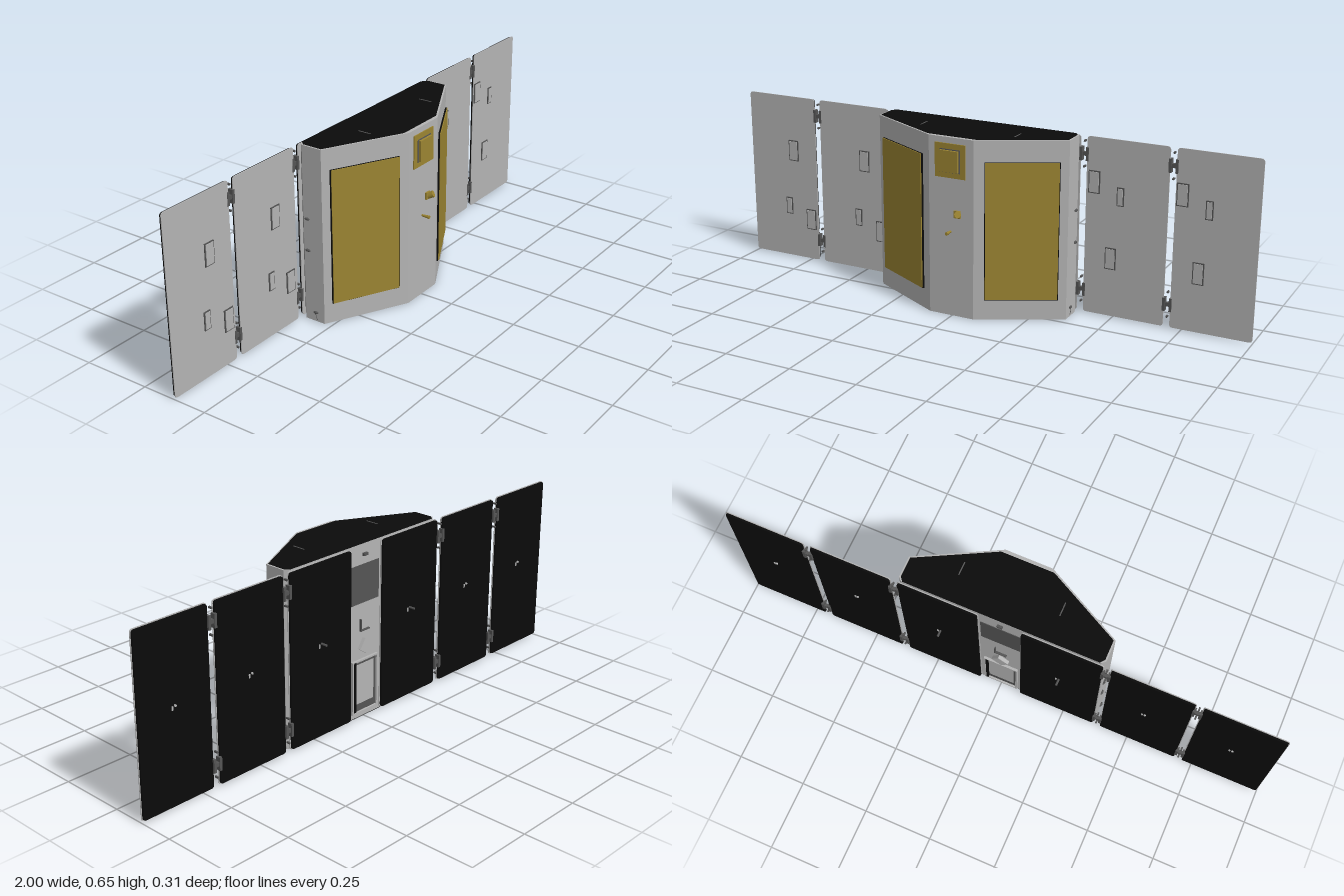
import * as THREE from 'three';

const mat = (name, color, extra = {}) => {
  const m = new THREE.MeshStandardMaterial({ color, ...extra });
  m.name = name;
  return m;
};

export function createModel() {
  const grey = mat('light grey', 0xb4b4b4);
  const black = mat('black', 0x0b0b0b);
  const gold = mat('gold', 0x9b8432);
  const dark = mat('dark grey', 0x555555);
  const model = new THREE.Group();

  const add = (parent, name, geo, material, x = 0, y = 0, z = 0) => {
    const m = new THREE.Mesh(geo, material);
    m.name = name;
    m.position.set(x, y, z);
    parent.add(m);
    return m;
  };
  const box = (parent, name, material, w, h, d, x, y, z) =>
    add(parent, name, new THREE.BoxGeometry(w, h, d), material, x, y, z);

  // Mirrored plan outline (x, z) raised from y0 to y1
  const prism = (name, half, y0, y1, material) => {
    const pts = [...half, ...half.map(([x, z]) => [-x, z]).reverse()];
    const shape = new THREE.Shape(pts.map(([x, z]) => new THREE.Vector2(x, -z)));
    const geo = new THREE.ExtrudeGeometry(shape, { depth: y1 - y0, bevelEnabled: false });
    geo.rotateX(-Math.PI / 2);
    return add(model, name, geo, material, 0, y0, 0);
  };

  // Rounded plate standing in the xy plane
  const plate = (w, h, d, r) => {
    const s = new THREE.Shape();
    const a = w / 2, b = h / 2;
    s.moveTo(-a + r, -b);
    s.lineTo(a - r, -b).quadraticCurveTo(a, -b, a, -b + r);
    s.lineTo(a, b - r).quadraticCurveTo(a, b, a - r, b);
    s.lineTo(-a + r, b).quadraticCurveTo(-a, b, -a, b - r);
    s.lineTo(-a, -b + r).quadraticCurveTo(-a, -b, -a + r, -b);
    return new THREE.ExtrudeGeometry(s, { depth: d, bevelEnabled: false, curveSegments: 4 });
  };

  // Body with black end covers
  prism('body', [[0.355, -0.115], [0.368, -0.103], [0.368, -0.025], [0.085, 0.125]], 0.002, 0.643, grey);
  const cover = [[0.35, -0.115], [0.362, -0.1], [0.362, -0.028], [0.095, 0.112]];
  prism('topCover', cover, 0.643, 0.645, black);
  prism('bottomCover', cover, 0, 0.002, black);
  for (const x of [-0.17, 0.19]) box(model, 'topSlot', dark, 0.004, 0.001, 0.05, x, 0.6455, 0.005);

  // Gold radiators on the sloping faces
  for (const s of [-1, 1]) {
    const g = new THREE.Group();
    g.name = s > 0 ? 'leftRadiator' : 'rightRadiator';
    g.position.set(s * 0.23, 0.323, 0.0487);
    g.rotation.y = s * Math.atan2(0.15, 0.285);
    box(g, 'radiatorBase', black, 0.254, 0.492, 0.006, 0, -0.001, 0.003);
    box(g, 'radiatorFace', gold, 0.249, 0.49, 0.003, 0, 0, 0.0075);
    model.add(g);
  }

  // Front antenna patch, sensor and nozzle
  box(model, 'antennaBase', gold, 0.116, 0.12, 0.004, -0.002, 0.562, 0.127);
  box(model, 'antennaBorder', dark, 0.076, 0.082, 0.002, -0.002, 0.562, 0.13);
  box(model, 'antennaBlock', gold, 0.068, 0.075, 0.011, -0.002, 0.562, 0.1345);
  const sensor = add(model, 'sensorTube', new THREE.CylinderGeometry(0.012, 0.009, 0.034, 12), gold, 0.03, 0.374, 0.131);
  sensor.rotation.set(1.05, 0, -0.35);
  box(model, 'sensorFoot', gold, 0.024, 0.026, 0.008, 0.025, 0.376, 0.128);
  const nozzle = add(model, 'nozzle', new THREE.CylinderGeometry(0.006, 0.004, 0.03, 10), gold, -0.003, 0.31, 0.14);
  nozzle.rotation.x = Math.PI / 2;

  // Knobs on the side walls
  for (const s of [-1, 1]) {
    for (const [y, z] of [[0.382, -0.087], [0.266, -0.087], [0.036, -0.06]]) {
      const knob = add(model, 'sideKnob', new THREE.SphereGeometry(0.01, 10, 6), dark, s * 0.37, y, z);
      knob.scale.set(0.5, 0.5, 1);
    }
    const curve = new THREE.QuadraticBezierCurve3(
      new THREE.Vector3(s * 0.37, 0.034, -0.06), new THREE.Vector3(s * 0.372, 0.018, -0.06),
      new THREE.Vector3(s * 0.37, 0.01, -0.053));
    add(model, 'sideCable', new THREE.TubeGeometry(curve, 6, 0.001, 5), dark);
  }

  // Solar panels: black cells at the back, grey sheet at the front
  const panels = [[0.222, 0.292], [0.539, 0.295], [0.855, 0.29]];
  for (const s of [-1, 1]) {
    panels.forEach(([x, w], i) => {
      const g = new THREE.Group();
      g.name = ['body', 'inner', 'outer'][i] + (s > 0 ? 'LeftPanel' : 'RightPanel');
      g.position.set(s * x, 0.3225, 0);
      add(g, 'panelSheet', plate(w, 0.635, 0.003, 0.012), grey, 0, 0, -0.122);
      add(g, 'solarCells', plate(w - 0.006, 0.629, 0.007, 0.01), black, 0, 0, -0.129);
      // Small stud at the middle of the cells
      const long = i === 0 ? 0.024 : 0.005;
      const stud = add(g, 'panelStud', new THREE.CylinderGeometry(0.004, 0.004, long, 8), i ? grey : dark,
        0, 0.027, -0.129 - long / 2);
      stud.rotation.x = Math.PI / 2;
      box(g, 'studFoot', grey, 0.006, 0.014, 0.002, 0.01, 0.02, -0.13);
      model.add(g);
    });
    box(model, 'panelMount', dark, 0.26, 0.58, 0.004, s * 0.222, 0.3225, -0.117);

    // Hinges between the panels
    for (const x of [0.38, 0.698]) {
      for (const y of [0.085, 0.575]) {
        const hinge = new THREE.Group();
        hinge.name = 'hinge';
        hinge.position.set(s * x, y, -0.127);
        for (const k of [-1, 1]) {
          box(hinge, 'hingeLeaf', dark, 0.01, 0.048, 0.018, k * 0.012, 0, 0);
          box(hinge, 'hingeStop', dark, 0.006, 0.006, 0.014, 0, k * 0.045, 0);
        }
        box(hinge, 'hingePin', dark, 0.026, 0.014, 0.012, 0, 0, 0);
        model.add(hinge);
      }
    }
  }

  // Raised pads on the front of the wings: x, y, width, height
  const pads = [
    [-0.81, 0.43, 0.042, 0.08], [-0.838, 0.208, 0.028, 0.066], [-0.74, 0.165, 0.042, 0.08],
    [-0.495, 0.43, 0.042, 0.08], [-0.525, 0.208, 0.028, 0.066], [-0.428, 0.165, 0.042, 0.08],
    [0.421, 0.482, 0.042, 0.08], [0.517, 0.442, 0.026, 0.066], [0.488, 0.216, 0.04, 0.078],
    [0.735, 0.482, 0.042, 0.08], [0.829, 0.442, 0.026, 0.066], [0.802, 0.216, 0.04, 0.078],
  ];
  for (const [x, y, w, h] of pads) {
    box(model, 'padBorder', dark, w, h, 0.003, x, y, -0.1175);
    box(model, 'pad', grey, w - 0.008, h - 0.008, 0.005, x, y, -0.1165);
  }

  // Rear equipment strip between the body panels
  box(model, 'rearBay', dark, 0.144, 0.14, 0.002, 0, 0.5, -0.116);
  box(model, 'rearSensor', dark, 0.02, 0.01, 0.01, 0, 0.605, -0.119);
  box(model, 'bracketUpright', dark, 0.004, 0.045, 0.008, 0.02, 0.35, -0.119);
  box(model, 'bracketFoot', dark, 0.045, 0.004, 0.008, 0, 0.33, -0.119);
  const cube = box(model, 'tiltedBox', grey, 0.045, 0.045, 0.014, 0, 0.27, -0.121);
  cube.rotation.z = 0.6;
  box(model, 'trayFloor', dark, 0.12, 0.19, 0.002, 0, 0.122, -0.116);
  box(model, 'trayPlate', grey, 0.095, 0.15, 0.003, 0, 0.13, -0.117);
  for (const k of [-1, 1]) {
    box(model, 'traySide', grey, 0.006, 0.2, 0.01, k * 0.061, 0.122, -0.119);
    box(model, 'trayEnd', grey, 0.128, 0.006, 0.01, 0, 0.122 + k * 0.098, -0.119);
  }
  box(model, 'rearRail', black, 0.008, 0.19, 0.01, 0.052, 0.125, -0.121);

  return model;
}
